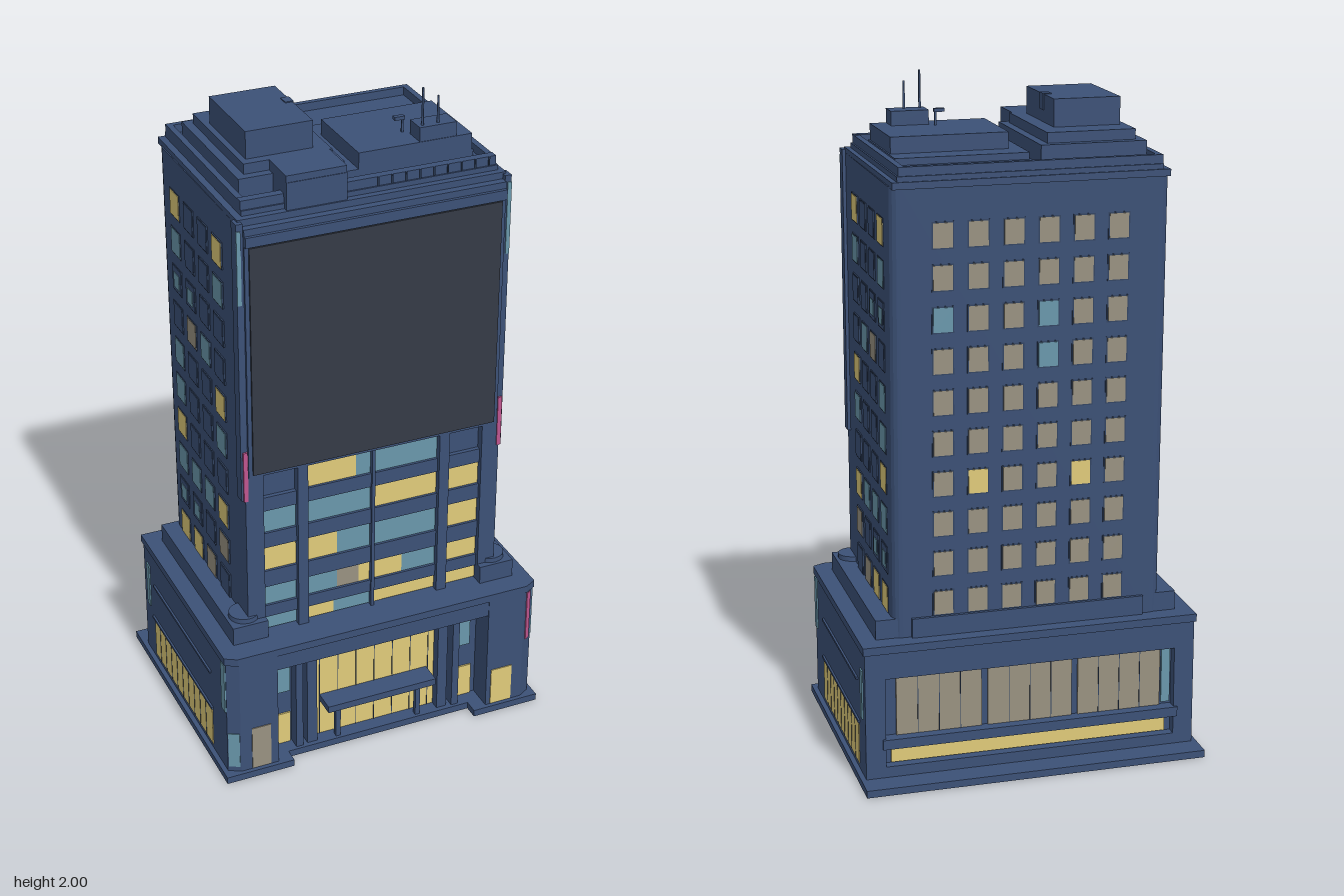
import * as THREE from 'three';

const material = (name, color) => {
  const m = new THREE.MeshStandardMaterial({ color });
  m.name = name;
  return m;
};

export function createModel() {
  const model = new THREE.Group();
  model.name = 'officeTower';
  const wall = material('wallBlue', 0x3c5177);
  const trim = material('trimBlue', 0x324462);
  const yellow = material('litYellow', 0xe0cb7a);
  const teal = material('glassTeal', 0x6a98ac);
  const khaki = material('dimKhaki', 0x999281);
  const dark = material('screenGrey', 0x353b46);
  const pink = material('neonPink', 0xc0568f);
  const glass = { Y: yellow, T: teal, G: khaki, t: wall, '-': wall };

  const add = (name, geometry, mat) => {
    const mesh = new THREE.Mesh(geometry, mat);
    mesh.name = name;
    model.add(mesh);
    return mesh;
  };
  // Box given by its min and max on each axis
  const box = (name, x0, x1, y0, y1, z0, z1, mat = wall) => {
    const mesh = add(name, new THREE.BoxGeometry(x1 - x0, y1 - y0, z1 - z0), mat);
    mesh.position.set((x0 + x1) / 2, (y0 + y1) / 2, (z0 + z1) / 2);
    return mesh;
  };
  const mirrored = (name, x0, x1, ...rest) => {
    box(name, x0, x1, ...rest);
    box(name, -x1, -x0, ...rest);
  };
  // Floor plan extruded upwards; plan points are [x, z]
  const storey = (name, plan, y0, y1) => {
    const shape = new THREE.Shape(plan.map(([x, z]) => new THREE.Vector2(x, -z)));
    const g = new THREE.ExtrudeGeometry(shape, { depth: y1 - y0, bevelEnabled: false });
    g.rotateX(-Math.PI / 2).translate(0, y0, 0);
    return add(name, g, wall);
  };
  const symmetric = (half) => [...half, ...half.map(([x, z]) => [-x, z]).reverse()];

  // Ground slab with a notch at the entrance
  storey('groundSlab', symmetric([[0.515, -0.41], [0.515, 0.405], [0.3, 0.405], [0.3, 0.36]]), 0, 0.022);

  // Podium with chamfered front corners, a recessed entrance and a recessed back
  storey('podium', symmetric([
    [0.44, -0.305], [0.44, -0.335], [0.5, -0.335], [0.5, 0.372], [0.465, 0.392], [0.345, 0.392], [0.345, 0.31],
  ]), 0.02, 0.41);
  storey('podiumRoof', symmetric([[0.505, -0.342], [0.505, 0.375], [0.47, 0.395]]), 0.408, 0.432);
  box('entranceLintel', -0.35, 0.35, 0.355, 0.41, 0.3, 0.39);
  mirrored('podiumStepSide', 0.345, 0.455, 0.43, 0.49, -0.285, 0.325);
  box('podiumStepBack', -0.35, 0.35, 0.43, 0.49, -0.3, -0.2);
  [-1, 1].forEach((side) => {
    const plinth = add('cornerPlinth', new THREE.CylinderGeometry(0.045, 0.05, 0.075, 20), wall);
    plinth.position.set(side * 0.4, 0.467, 0.27);
  });

  // Entrance hall
  box('entranceGlass', -0.22, 0.22, 0.022, 0.335, 0.309, 0.315, yellow);
  for (let i = -3; i <= 3; i++) box('entranceMullion', i * 0.06 - 0.001, i * 0.06 + 0.001, 0.022, 0.335, 0.312, 0.317, trim);
  mirrored('entranceColumn', 0.2, 0.232, 0.02, 0.36, 0.31, 0.345);
  mirrored('outerColumn', 0.248, 0.27, 0.02, 0.36, 0.31, 0.35);
  mirrored('canopyPost', 0.125, 0.14, 0.02, 0.15, 0.335, 0.35);
  box('entranceCanopy', -0.18, 0.175, 0.145, 0.167, 0.31, 0.385);
  mirrored('sideBayWindow', 0.275, 0.33, 0.022, 0.13, 0.309, 0.315, yellow);
  mirrored('sideBayGlass', 0.275, 0.323, 0.21, 0.35, 0.309, 0.315, teal);
  box('cornerDoorRight', -0.43, -0.37, 0.025, 0.17, 0.388, 0.395, khaki);
  box('cornerDoorLeft', 0.36, 0.43, 0.025, 0.15, 0.388, 0.395, yellow);

  // Angled panels on the chamfered corners
  const cornerPanel = (name, side, half, y0, y1, mat) => {
    const p = box(name, -half, half, y0, y1, -0.003, 0.003, mat);
    p.position.x = side * 0.4825;
    p.position.z = 0.382;
    p.rotation.y = side * 0.52;
  };
  cornerPanel('cornerGlass', -1, 0.017, 0.04, 0.16, teal);
  cornerPanel('cornerNeon', 1, 0.009, 0.23, 0.4, pink);

  // Podium sides
  mirrored('sideShopWindow', 0.496, 0.502, 0.037, 0.17, -0.248, 0.254, yellow);
  mirrored('sideShopHead', 0.496, 0.506, 0.17, 0.178, -0.26, 0.26);
  mirrored('sideLedge', 0.496, 0.506, 0.297, 0.305, -0.24, 0.25);
  for (let i = 0; i < 9; i++) mirrored('sideShopMullion', 0.498, 0.503, 0.037, 0.17, -0.201 + i * 0.05, -0.199 + i * 0.05, trim);
  mirrored('sideFrontSign', 0.497, 0.504, 0.235, 0.4, 0.34, 0.37, teal);
  mirrored('sideBackSign', 0.497, 0.504, 0.2, 0.35, -0.307, -0.282, teal);

  // Podium back: shop front set into the recess
  box('backLintel', -0.44, 0.44, 0.328, 0.41, -0.335, -0.3);
  box('backLedge', -0.45, 0.45, 0.112, 0.142, -0.343, -0.3);
  box('backSill', -0.44, 0.44, 0.02, 0.055, -0.335, -0.3);
  box('backStrip', -0.42, 0.42, 0.058, 0.11, -0.312, -0.304, yellow);
  [-0.275, 0, 0.275].forEach((x) => {
    box('backShopWindow', x - 0.128, x + 0.128, 0.142, 0.325, -0.312, -0.304, khaki);
    for (let i = -1; i <= 1; i++) box('backShopMullion', x + i * 0.064 - 0.001, x + i * 0.064 + 0.001, 0.142, 0.325, -0.314, -0.306, trim);
  });
  box('backEndGlass', -0.435, -0.408, 0.15, 0.325, -0.312, -0.304, teal);

  // Tower shaft with rounded back corners, leaning slightly outwards at the back
  const lean = (y) => -0.29 - 0.02 * (y - 0.49);
  const arc = [0, 1, 2, 3, 4].map((i) => {
    const a = (i / 4) * Math.PI / 2;
    return [0.374 + 0.03 * Math.sin(a), -0.26 - 0.03 * Math.cos(a)];
  });
  const shaft = storey('towerShaft', symmetric([...arc, [0.4, 0.28]]), 0.42, 1.75);
  const pos = shaft.geometry.attributes.position;
  for (let i = 0; i < pos.count; i++) {
    if (pos.getZ(i) < 0) pos.setZ(i, pos.getZ(i) + lean(pos.getY(i)) + 0.29);
  }
  shaft.geometry.computeVertexNormals();

  // Front piers and spandrels
  mirrored('cornerPier', 0.345, 0.4, 0.42, 1.0, 0.27, 0.305);
  mirrored('innerPier', 0.208, 0.24, 0.42, 1.0, 0.27, 0.305);
  box('centrePier', -0.005, 0.005, 0.42, 1.0, 0.27, 0.3);
  [0.48, 0.585, 0.72, 0.845].forEach((y, i) => {
    box('spandrel', -0.35, 0.35, y, [0.52, 0.64, 0.77, 0.89][i], 0.27, 0.293);
  });

  // Front window bands: [y0, y1, [x0, x1, colour]...]
  [
    [0.89, 0.965, [-0.208, -0.05, 'Y'], [-0.05, 0.208, 'T']],
    [0.77, 0.845, [-0.345, -0.24, 'T'], [-0.208, 0, 'T'], [0, 0.208, 'Y'], [0.24, 0.345, 'Y']],
    [0.64, 0.72, [-0.345, -0.24, 'Y'], [-0.208, -0.11, 'Y'], [-0.11, 0.208, 'T'], [0.24, 0.345, 'Y']],
    [0.52, 0.585, [-0.345, -0.24, 'T'], [-0.208, -0.11, 'T'], [-0.11, -0.04, 'G'], [-0.04, 0.1, 'Y'], [0.1, 0.208, 'T'], [0.24, 0.345, 'Y']],
    [0.435, 0.48, [-0.345, -0.24, 'T'], [-0.208, -0.12, 'Y'], [-0.12, 0, 'T'], [0, 0.208, 'Y'], [0.24, 0.345, 'Y']],
  ].forEach(([y0, y1, ...panes]) => panes.forEach(([x0, x1, c]) => box('frontWindow', x0, x1, y0, y1, 0.278, 0.285, glass[c])));

  // Billboard, its frame, and the side fins with front-facing neon strips
  box('billboardFrame', -0.39, 0.39, 0.975, 1.745, 0.27, 0.308);
  box('billboardScreen', -0.378, 0.378, 0.985, 1.69, 0.306, 0.314, dark);
  box('billboardHood', -0.39, 0.39, 1.695, 1.725, 0.3, 0.318);
  mirrored('sideFin', 0.39, 0.41, 0.9, 1.76, 0.265, 0.3);
  mirrored('tealNeon', 0.398, 0.41, 1.52, 1.74, 0.298, 0.303, teal);
  mirrored('pinkNeon', 0.392, 0.405, 0.9, 1.06, 0.302, 0.308, pink);

  // Side and back windows, top row first; side columns run from front to back
  const sideRows = ['Y--Y', 'T--T', '--tt', '-TG-', 'Y--T', 'T--T', '---Y', 'YTTT', 'G-tt', '-GYY'];
  const backRows = ['GGGGGG', 'GGGGGG', 'TGGTGG', 'GGGTGG', 'GGGGGG', 'GGGGGG', 'GYGGYG', 'GGGGGG', 'GGGGGG', 'GGGGGG'];
  sideRows.forEach((row, r) => {
    const y = 1.61 - r * 0.12;
    [...row].forEach((c, i) => {
      const z = 0.135 - i * 0.11;
      mirrored('sideWindowFrame', 0.398, 0.405, y - 0.041, y + 0.041, z - 0.037, z + 0.037, trim);
      mirrored('sideWindow', 0.399, 0.4065, y - 0.038, y + 0.038, z - 0.034, z + 0.034, glass[c]);
      if (c === 't') mirrored('sideWindowGlint', 0.4, 0.408, y - 0.027, y + 0.02, z - 0.021, z + 0.021, teal);
    });
    [...backRows[r]].forEach((c, i) => {
      const x = 0.255 - i * 0.102, z = lean(y);
      box('backWindowFrame', x - 0.032, x + 0.032, y - 0.039, y + 0.039, z - 0.002, z + 0.004, trim);
      box('backWindow', x - 0.028, x + 0.028, y - 0.035, y + 0.035, z - 0.004, z + 0.001, glass[c]);
    });
  });

  // Cornice, roof and parapet
  box('cornice', -0.4, 0.4, 1.745, 1.765, -0.33, 0.285);
  box('roofDeck', -0.38, 0.385, 1.765, 1.78, -0.325, 0.265);
  mirrored('parapetSide', 0.362, 0.38, 1.765, 1.805, -0.32, 0.26);
  box('parapetBack', -0.38, 0.38, 1.765, 1.805, -0.32, -0.303);
  box('parapetFront', -0.38, 0.38, 1.765, 1.807, 0.235, 0.26);
  for (let i = 0; i < 9; i++) box('parapetRib', 0.02 + i * 0.042, 0.024 + i * 0.042, 1.78, 1.807, 0.255, 0.264, trim);

  // Stepped penthouse on the right
  box('penthouseBase', -0.355, -0.045, 1.78, 1.835, -0.25, 0.185);
  box('penthouseMiddle', -0.33, -0.07, 1.835, 1.865, -0.225, 0.16);
  box('penthouseTop', -0.312, -0.115, 1.865, 1.945, -0.14, 0.132);
  box('penthouseVent', -0.137, -0.112, 1.9, 1.948, -0.045, -0.01);
  box('frontHousing', -0.255, -0.078, 1.74, 1.845, 0.155, 0.28);
  box('frontHousingCap', -0.255, -0.078, 1.845, 1.865, 0.158, 0.278);

  // Plant room on the left with its aerials
  box('plantTerrace', -0.04, 0.35, 1.78, 1.8, -0.155, 0.18);
  box('plantRoom', 0, 0.345, 1.8, 1.848, -0.08, 0.18);
  box('plantBox', 0.185, 0.297, 1.848, 1.89, 0.113, 0.178);
  [[0.2, 2.0], [0.247, 1.97]].forEach(([x, top]) => {
    const mast = add('aerial', new THREE.CylinderGeometry(0.003, 0.004, top - 1.88, 6), wall);
    mast.position.set(x, (top + 1.88) / 2, 0.162);
  });
  box('cameraPost', 0.168, 0.174, 1.848, 1.89, 0.09, 0.096);
  box('cameraHead', 0.145, 0.176, 1.887, 1.897, 0.085, 0.1);

  return model;
}
